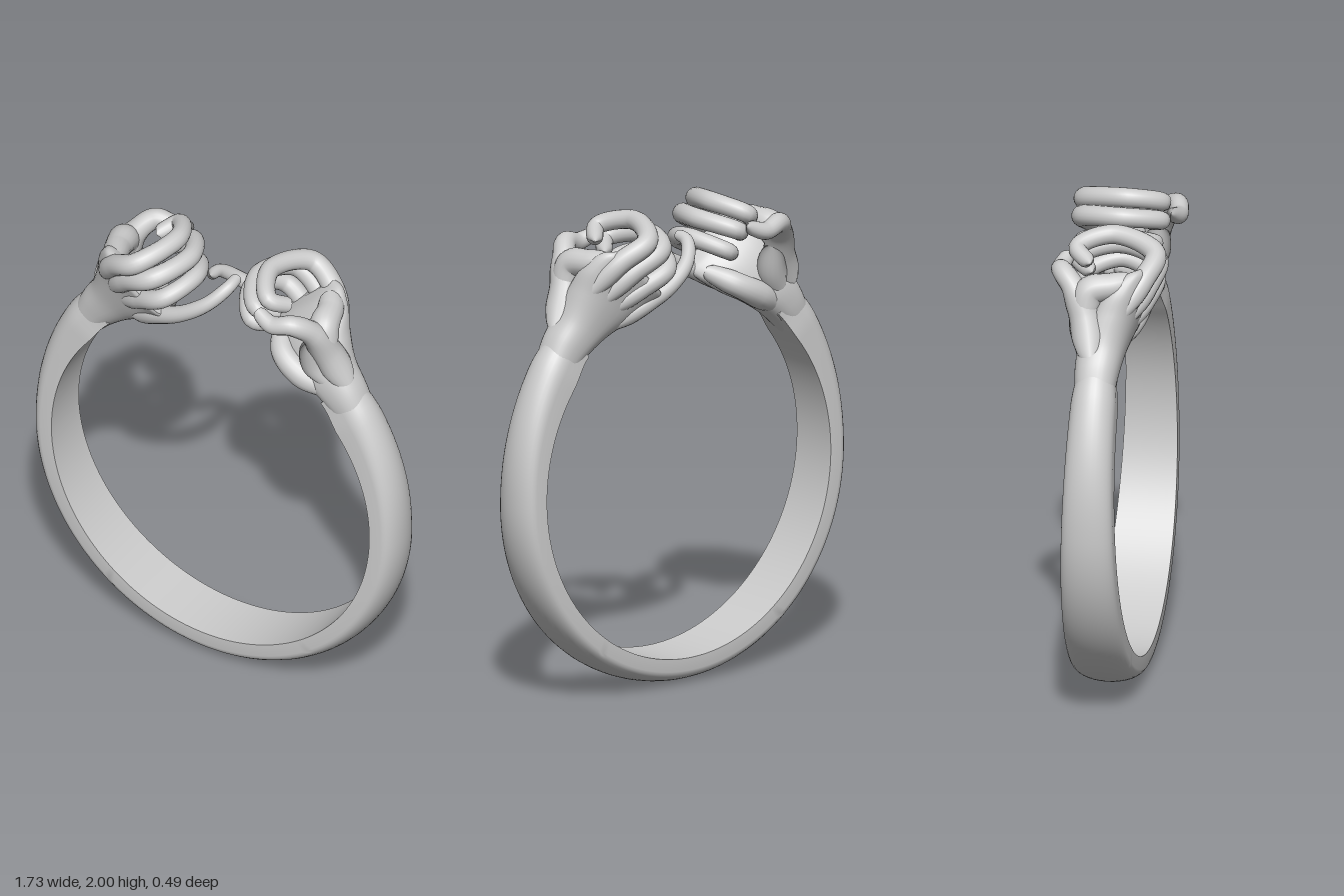
import * as THREE from 'three';
import { toCreasedNormals } from 'three/addons/utils/BufferGeometryUtils.js';

const material = new THREE.MeshStandardMaterial({ color: 0xcccccc });
const V = (p) => new THREE.Vector3(...p);
const curveOf = (points) => new THREE.CatmullRomCurve3(points.map(V));

// Skins equal-length closed rings of Vector3 and caps both ends.
function loft(rings) {
  const n = rings[0].length, pos = [], idx = [];
  rings.forEach((r) => r.forEach((p) => pos.push(p.x, p.y, p.z)));
  for (let i = 0; i < rings.length - 1; i++) {
    for (let j = 0; j < n; j++) {
      const a = i * n + j, b = i * n + (j + 1) % n;
      idx.push(a, a + n, b, b, a + n, b + n);
    }
  }
  [0, rings.length - 1].forEach((i) => {
    const c = new THREE.Vector3();
    rings[i].forEach((p) => c.addScaledVector(p, 1 / n));
    const k = pos.length / 3;
    pos.push(c.x, c.y, c.z);
    for (let j = 0; j < n; j++) {
      const a = i * n + j, b = i * n + (j + 1) % n;
      if (i) idx.push(k, b, a); else idx.push(k, a, b);
    }
  });
  const g = new THREE.BufferGeometry();
  g.setAttribute('position', new THREE.Float32BufferAttribute(pos, 3));
  g.setIndex(idx);
  g.computeVertexNormals();
  return g;
}

// Tapering tube with rounded ends; radii are spread evenly along the path.
function limb(name, points, radii) {
  const N = 64, M = 18, curve = curveOf(points), length = curve.getLength();
  const g = new THREE.TubeGeometry(curve, N, 1, M, false), pos = g.attributes.position;
  const p = new THREE.Vector3();
  for (let i = 0; i <= N; i++) {
    const u = i / N, c = curve.getPointAt(u);
    const s = u * (radii.length - 1), k = Math.min(Math.floor(s), radii.length - 2);
    const r = THREE.MathUtils.lerp(radii[k], radii[k + 1], THREE.MathUtils.smoothstep(s - k, 0, 1));
    const e = Math.max(0, 1 - Math.min(u, 1 - u) * length / r);
    const scale = r * Math.sqrt(Math.max(0, 1 - e * e));
    for (let j = 0; j <= M; j++) {
      const v = i * (M + 1) + j;
      p.fromBufferAttribute(pos, v).sub(c).multiplyScalar(scale).add(c);
      pos.setXYZ(v, p.x, p.y, p.z);
    }
  }
  return named(new THREE.Mesh(g, material), name);
}

function named(object, name) {
  object.name = name;
  return object;
}

// Band: flat inside, domed outside, wider at the bottom, thicker near the wrists.
function makeBand() {
  const rings = [], steps = 140, end = 49;
  for (let i = 0; i <= steps; i++) {
    const deg = -180 - end + (180 + 2 * end) * i / steps;
    const a = THREE.MathUtils.degToRad(deg);
    const up = deg < -90 ? -180 - deg : deg;
    const lift = Math.max(0, up) / 45;
    const sink = THREE.MathUtils.smoothstep(up, 38, end) * 0.16;
    const t = 0.11 + 0.07 * lift ** 1.6;
    const y = 0.865 + 0.8 * Math.sin(a);
    const w = THREE.MathUtils.lerp(0.132, 0.09, Math.min(1, y / 1.4)) * (1 - sink);
    const ring = [];
    const add = (z, f) => {
      const r = 0.755 + t * (0.5 + (f - 0.5) * (1 - sink));
      ring.push(new THREE.Vector3(r * Math.cos(a), 0.865 + r * Math.sin(a), z * w));
    };
    for (let k = 0; k <= 16; k++) {
      const b = Math.PI * k / 16;
      add(-Math.cos(b), 0.48 + 0.52 * Math.sin(b));
    }
    for (let k = 0; k <= 6; k++) add(1 - k / 3, 0);
    rings.push(ring);
  }
  return named(new THREE.Mesh(toCreasedNormals(loft(rings), 0.7), material), 'band');
}

// Wrist and palm: oval sections between an inner and an outer edge.
function makePalm() {
  // inner x, y, outer x, y, centre z, half thickness
  const sections = [
    [0.59, 1.34, 0.70, 1.43, 0, 0.075],
    [0.50, 1.425, 0.652, 1.535, 0, 0.088],
    [0.40, 1.495, 0.60, 1.62, -0.01, 0.095],
    [0.30, 1.55, 0.56, 1.73, -0.04, 0.095],
    [0.225, 1.605, 0.53, 1.82, -0.08, 0.085],
    [0.19, 1.65, 0.475, 1.885, -0.13, 0.062],
    [0.20, 1.68, 0.42, 1.89, -0.16, 0.03],
  ];
  const inner = curveOf(sections.map((s) => [s[0], s[1], s[4]]));
  const outer = curveOf(sections.map((s) => [s[2], s[3], s[4]]));
  const half = curveOf(sections.map((s, i) => [s[5], i * 0.1, 0]));
  const rings = [];
  for (let i = 0; i <= 48; i++) {
    const p = inner.getPoint(i / 48), q = outer.getPoint(i / 48), h = half.getPoint(i / 48).x;
    const ring = [];
    for (let j = 0; j < 36; j++) {
      const a = j / 36 * Math.PI * 2, c = Math.cos(a), s = Math.sin(a);
      const v = p.clone().lerp(q, 0.5 + 0.5 * Math.sign(c) * Math.abs(c) ** 0.85);
      v.z += h * Math.sign(s) * Math.abs(s) ** 0.85;
      ring.push(v);
    }
    rings.push(ring);
  }
  return named(new THREE.Mesh(loft(rings), material), 'palm');
}

// One hand: palm faces +z, fingers curl forward and the little finger reaches out.
function makeHand(name) {
  const hand = named(new THREE.Group(), name);
  const finger = [0.025, 0.046, 0.044, 0.041, 0.039, 0.034];
  hand.add(
    makePalm(),
    limb('indexFinger', [[0.53, 1.68, -0.06], [0.42, 1.84, -0.165], [0.30, 1.915, -0.195],
      [0.215, 1.957, -0.01], [0.29, 1.92, 0.125], [0.36, 1.875, 0.06]], finger),
    limb('middleFinger', [[0.49, 1.64, -0.07], [0.36, 1.79, -0.17], [0.225, 1.865, -0.19],
      [0.15, 1.895, -0.02], [0.235, 1.86, 0.13], [0.31, 1.82, 0.06]], finger),
    limb('ringFinger', [[0.46, 1.60, -0.06], [0.30, 1.71, -0.155], [0.18, 1.775, -0.175],
      [0.115, 1.82, -0.03], [0.20, 1.775, 0.11], [0.28, 1.735, 0.04]], finger.map((r) => r * 0.92)),
    limb('littleFinger', [[0.42, 1.54, -0.05], [0.24, 1.635, -0.125], [0.11, 1.70, -0.135],
      [0.01, 1.77, -0.105], [-0.045, 1.83, -0.04], [-0.05, 1.845, 0.03]],
    [0.025, 0.042, 0.037, 0.033, 0.029, 0.024]),
    limb('thumb', [[0.60, 1.54, 0.02], [0.525, 1.70, 0.055], [0.485, 1.81, 0.105],
      [0.425, 1.865, 0.165], [0.34, 1.85, 0.185], [0.255, 1.88, 0.165]],
    [0.045, 0.068, 0.062, 0.046, 0.038, 0.03]),
    limb('thumbWeb', [[0.52, 1.72, 0.06], [0.50, 1.81, 0.04], [0.475, 1.83, -0.05],
      [0.43, 1.84, -0.13]], [0.06, 0.062, 0.055, 0.045]),
    limb('thumbPad', [[0.53, 1.54, 0.04], [0.475, 1.64, 0.065], [0.46, 1.75, 0.09]],
      [0.04, 0.062, 0.045]),
    limb('palmHeel', [[0.52, 1.48, 0.02], [0.40, 1.55, 0.06], [0.31, 1.60, 0.04],
      [0.23, 1.65, -0.07]], [0.04, 0.056, 0.05, 0.035]),
  );
  return hand;
}

export function createModel() {
  const model = named(new THREE.Group(), 'ring');
  const leftHand = makeHand('leftHand');
  const rightHand = makeHand('rightHand');
  rightHand.rotation.y = Math.PI;
  model.add(makeBand(), leftHand, rightHand);
  return model;
}
